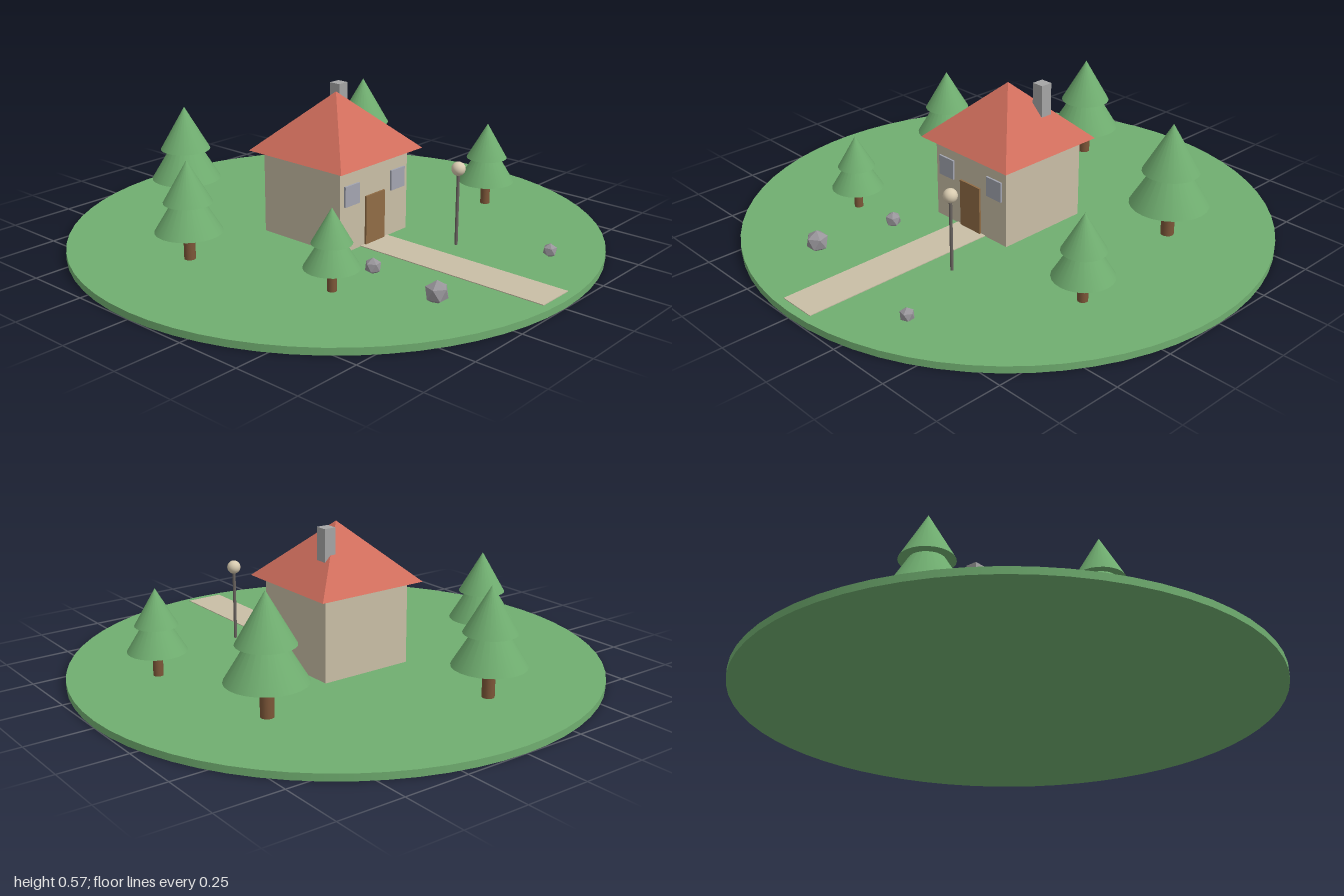
import * as THREE from 'three';

const material = (name, color, flatShading = false) => {
  const m = new THREE.MeshStandardMaterial({ color, flatShading });
  m.name = name;
  return m;
};

export function createModel() {
  const model = new THREE.Group();
  model.name = 'cottageScene';

  const green = material('leafGreen', 0x70ae70);
  const sand = material('sandPlaster', 0xc9bea6);
  const red = material('roofRed', 0xcf6d5c, true);
  const grey = material('chimneyGrey', 0xa5a5a5);
  const glass = material('windowGrey', 0xa3a5b0);
  const doorBrown = material('doorBrown', 0x906c45);
  const bark = material('barkBrown', 0x7c5638);
  const stone = material('stoneGrey', 0x98959a, true);
  const iron = material('poleGrey', 0x6a6460);
  const lampCream = material('lampCream', 0xd8cbb0);

  const add = (parent, name, geometry, mat, x = 0, y = 0, z = 0) => {
    const mesh = new THREE.Mesh(geometry, mat);
    mesh.name = name;
    mesh.position.set(x, y, z);
    parent.add(mesh);
    return mesh;
  };
  const group = (name, x = 0, z = 0) => {
    const g = new THREE.Group();
    g.name = name;
    g.position.set(x, GROUND, z);
    model.add(g);
    return g;
  };
  const GROUND = 0.026;

  // Round lawn and path
  add(model, 'lawn', new THREE.CylinderGeometry(1, 1, GROUND, 64), green, 0, GROUND / 2, 0);
  add(model, 'path', new THREE.BoxGeometry(0.15, 0.004, 0.785), sand, 0, GROUND + 0.001, 0.573);

  // House
  const house = group('house');
  const W = 0.375, H = 0.316;
  add(house, 'walls', new THREE.BoxGeometry(W, H, W), sand, 0, H / 2, 0);
  const roof = add(house, 'roof', new THREE.ConeGeometry(0.322, 0.22, 4), red, 0, H + 0.11, 0);
  roof.rotation.y = Math.PI / 4;
  add(house, 'chimney', new THREE.BoxGeometry(0.047, 0.123, 0.047), grey, 0.1, 0.479, -0.075);
  add(house, 'door', new THREE.BoxGeometry(0.105, 0.188, 0.009), doorBrown, 0, 0.094, W / 2 + 0.003);
  for (const side of [-1, 1]) {
    add(house, 'window', new THREE.BoxGeometry(0.077, 0.077, 0.009), glass, side * 0.128, 0.213, W / 2 + 0.003);
  }

  // Trees: x, z, radius of the lower cone
  const trees = [
    [-0.565, -0.19, 0.122],
    [-0.44, 0.375, 0.098],
    [-0.19, -0.627, 0.135],
    [0.522, -0.314, 0.147],
    [0.622, 0.249, 0.11],
  ];
  for (const [x, z, r] of trees) {
    const tree = group('tree', x, z);
    tree.scale.setScalar(r);
    add(tree, 'trunk', new THREE.CylinderGeometry(0.17, 0.17, 1, 16), bark, 0, 0.5, 0);
    add(tree, 'lowerFoliage', new THREE.ConeGeometry(1, 1.65, 24), green, 0, 0.86 + 0.825, 0);
    add(tree, 'upperFoliage', new THREE.ConeGeometry(0.72, 1.26, 24), green, 0, 1.74 + 0.63, 0);
  }

  // Lamp post
  const lamp = group('lampPost', 0.173, 0.435);
  add(lamp, 'pole', new THREE.CylinderGeometry(0.006, 0.006, 0.27, 12), iron, 0, 0.135, 0);
  add(lamp, 'globe', new THREE.SphereGeometry(0.026, 20, 14), lampCream, 0, 0.291, 0);

  // Rocks: x, z, radius, turn
  const rocks = [
    [-0.275, 0.685, 0.043, 0.3],
    [-0.228, 0.375, 0.031, 1.1],
    [0.31, 0.748, 0.027, 2.0],
  ];
  for (const [x, z, r, turn] of rocks) {
    const geometry = new THREE.IcosahedronGeometry(r, 0).rotateZ(0.55).rotateY(turn);
    add(model, 'rock', geometry, stone, x, GROUND + r * 0.72, z);
  }

  return model;
}
